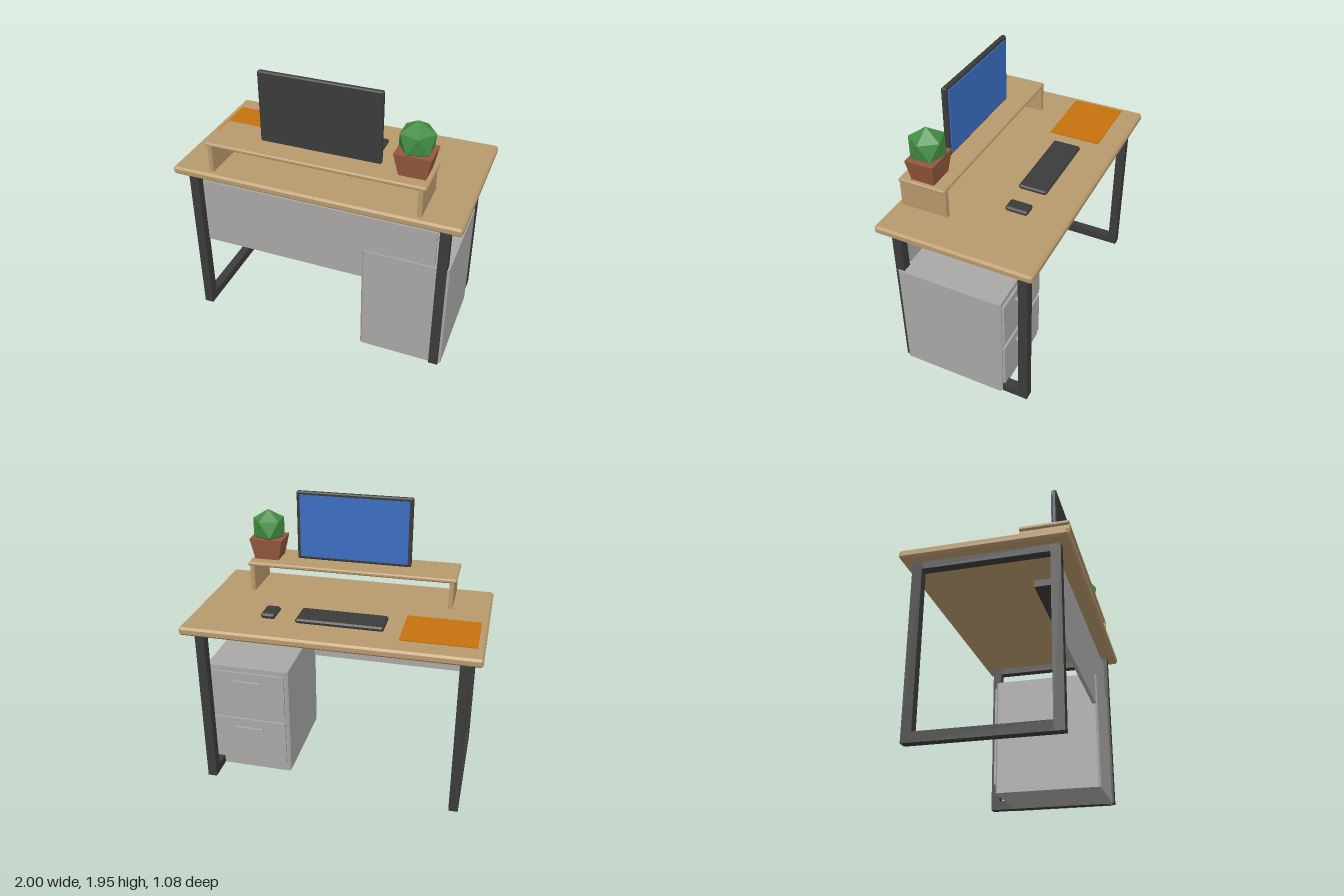
import * as THREE from 'three';
import { ConvexGeometry } from 'three/addons/geometries/ConvexGeometry.js';

const material = (name, color) => {
  const m = new THREE.MeshStandardMaterial({ color });
  m.name = name;
  return m;
};

// Block given by its [min, max] on each axis
const block = ([x0, x1], [y0, y1], [z0, z1]) =>
  new THREE.BoxGeometry(x1 - x0, y1 - y0, z1 - z0)
    .translate((x0 + x1) / 2, (y0 + y1) / 2, (z0 + z1) / 2);

// Block with every edge chamfered by c
function chamferBlock(xs, ys, zs, c) {
  const points = [];
  for (const i of [0, 1]) for (const j of [0, 1]) for (const k of [0, 1]) {
    const corner = new THREE.Vector3(xs[i], ys[j], zs[k]);
    const inset = new THREE.Vector3(i ? -c : c, j ? -c : c, k ? -c : c);
    for (const axis of ['x', 'y', 'z']) {
      const p = corner.clone().add(inset);
      p[axis] = corner[axis];
      points.push(p);
    }
  }
  return new ConvexGeometry(points);
}

// Upright block with only its vertical edges chamfered
function pillarBlock([x0, x1], [y0, y1], [z0, z1], c) {
  const points = [];
  for (const y of [y0, y1]) for (const [x, sx] of [[x0, 1], [x1, -1]]) for (const [z, sz] of [[z0, 1], [z1, -1]]) {
    points.push(new THREE.Vector3(x + sx * c, y, z), new THREE.Vector3(x, y, z + sz * c));
  }
  return new ConvexGeometry(points);
}

export function createModel() {
  const wood = material('wood', 0xb7996c);
  const metal = material('dark metal', 0x3b3b3b);
  const grey = material('grey panel', 0xa9a8a7);
  const orange = material('orange mat', 0xc6720d);
  const blue = material('blue screen', 0x3a6cc0);
  const clay = material('terracotta', 0x95573d);
  const leaf = material('leaf green', 0x438e44);

  const model = new THREE.Group();
  model.name = 'desk';
  const add = (name, geometry, mat, parent = model) => {
    const mesh = new THREE.Mesh(geometry, mat);
    mesh.name = name;
    parent.add(mesh);
    return mesh;
  };

  // Desktop
  add('desktop', chamferBlock([-1, 1], [1.175, 1.233], [-0.54, 0.54], 0.014), wood);

  // Rectangular leg frames
  for (const [name, xs] of [['rightLegFrame', [-0.92, -0.855]], ['leftLegFrame', [0.85, 0.915]]]) {
    const frame = new THREE.Group();
    frame.name = name;
    model.add(frame);
    add('frontLeg', block(xs, [0, 1.176], [0.41, 0.475]), metal, frame);
    add('backLeg', block(xs, [0, 1.176], [-0.475, -0.41]), metal, frame);
    add('footBar', block(xs, [0, 0.065], [-0.41, 0.41]), metal, frame);
    add('topBar', block(xs, [1.125, 1.176], [-0.41, 0.41]), metal, frame);
  }

  // Privacy panel and the cable tray behind it
  add('privacyPanel', block([-0.833, 0.83], [0.605, 1.105], [0.425, 0.45]), grey);
  add('cableTray', block([-0.583, 0.583], [1.088, 1.135], [0.227, 0.39]), metal);

  // Drawer cabinet
  const cabinet = new THREE.Group();
  cabinet.name = 'drawerCabinet';
  model.add(cabinet);
  add('cabinetBody', pillarBlock([0.335, 0.93], [0, 0.835], [-0.293, 0.46], 0.015), grey, cabinet);
  for (const y of [0.07, 0.453]) {
    add('drawerFront', block([0.36, 0.905], [y, y + 0.347], [-0.309, -0.29]), grey, cabinet);
    add('drawerHandle', block([0.525, 0.745], [y + 0.267, y + 0.283], [-0.328, -0.305]), grey, cabinet);
  }

  // Monitor riser
  add('riserShelf', chamferBlock([-0.753, 0.75], [1.42, 1.449], [0.168, 0.498], 0.008), wood);
  for (const x of [-0.735, 0.702]) {
    add('riserSide', block([x, x + 0.03], [1.232, 1.425], [0.168, 0.498]), wood);
  }

  // Monitor, its screen facing the sitter
  add('monitorCase', chamferBlock([-0.415, 0.415], [1.455, 1.953], [0.314, 0.35], 0.008), metal);
  add('monitorScreen', block([-0.39, 0.39], [1.478, 1.93], [0.306, 0.3145]), blue);

  // Things on the desk
  add('keyboard', chamferBlock([-0.336, 0.265], [1.231, 1.264], [-0.301, -0.101], 0.011), metal);
  add('mouse', chamferBlock([0.413, 0.513], [1.231, 1.268], [-0.28, -0.125], 0.012), metal);
  add('deskMat', block([-0.952, -0.452], [1.232, 1.241], [-0.39, -0.02]), orange);

  // Tapered square pot
  const potGeometry = new THREE.BoxGeometry(0.241, 0.154, 0.196);
  const p = potGeometry.attributes.position;
  for (let i = 0; i < p.count; i++) {
    if (p.getY(i) < 0) p.setXYZ(i, p.getX(i) * 0.73, p.getY(i), p.getZ(i) * 0.82);
  }
  potGeometry.computeVertexNormals();
  add('plantPot', potGeometry, clay).position.set(0.633, 1.525, 0.333);

  // Faceted plant with one corner pointing up
  const foliage = new THREE.IcosahedronGeometry(0.13, 0).rotateZ(-0.5536);
  add('plantFoliage', foliage, leaf).position.set(0.633, 1.674, 0.333);

  return model;
}
